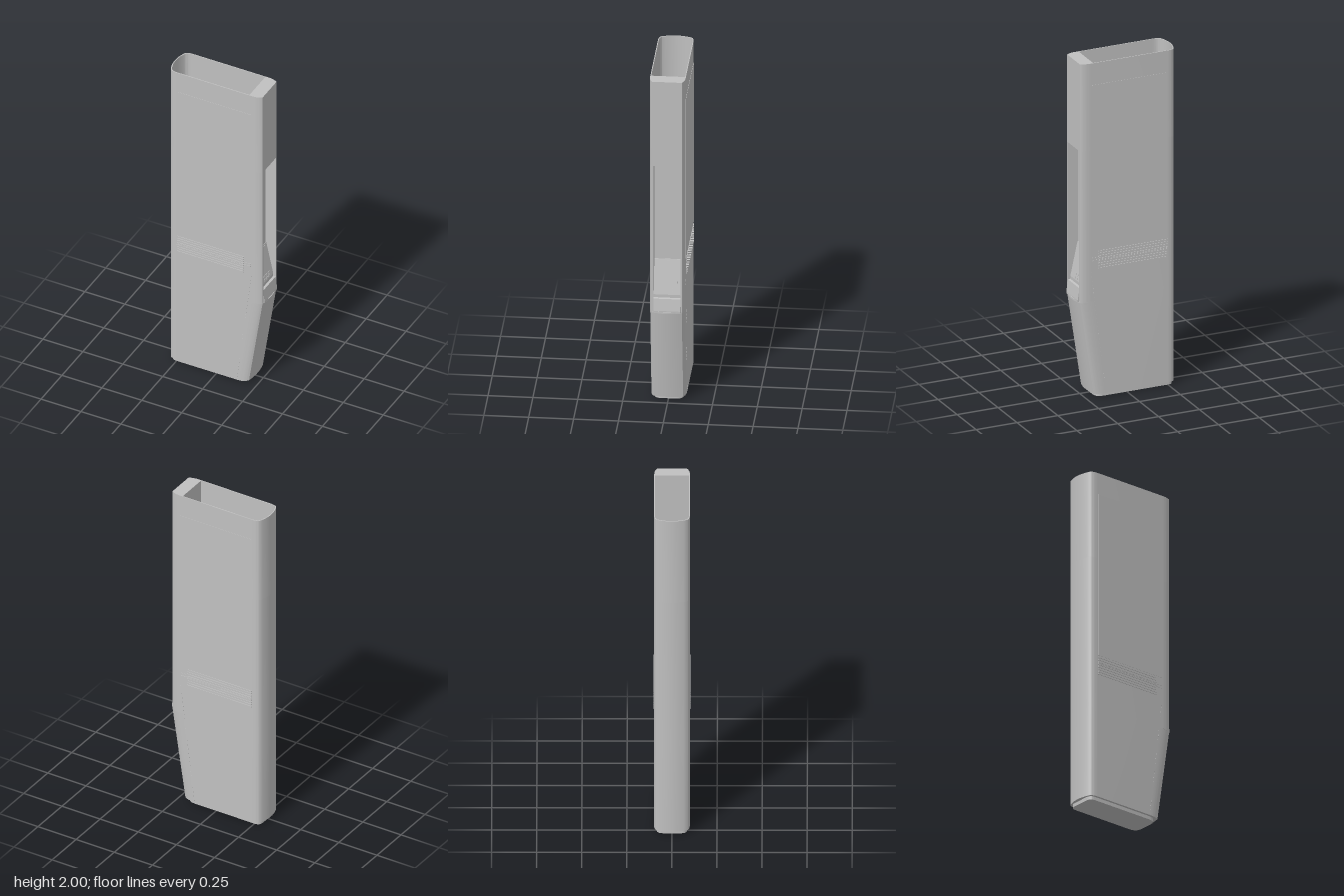
import * as THREE from 'three';
import { toCreasedNormals } from 'three/addons/utils/BufferGeometryUtils.js';

const grey = new THREE.MeshStandardMaterial({ color: 0xc0c0c0, side: THREE.DoubleSide });
grey.name = 'casing grey';
const H = 0.099; // half depth of the casing

function add(parent, name, geometry, x = 0, y = 0, z = 0) {
  const mesh = new THREE.Mesh(geometry, grey);
  mesh.name = name;
  mesh.position.set(x, y, z);
  parent.add(mesh);
  return mesh;
}

// Casing outline: bowed left end, flat sides, rounded right corners.
function outline(right, bow, flatEnd, notch) {
  const s = new THREE.Shape();
  s.moveTo(-0.24, H);
  s.quadraticCurveTo(-0.277, H, -0.287, 0.083);
  s.quadraticCurveTo(-0.323, 0, -0.287, -0.083);
  s.quadraticCurveTo(-0.277, -H, -0.24, -H);
  s.lineTo(flatEnd, -H);
  s.quadraticCurveTo(right - 0.02, -H, right, -0.083);
  if (notch) {
    for (const [x, z] of [[right, -0.075], [notch, -0.075], [notch, 0.075], [right, 0.075], [right, 0.083]]) s.lineTo(x, z);
  } else {
    s.quadraticCurveTo(right + 2 * bow, 0, right, 0.083);
  }
  s.quadraticCurveTo(right - 0.02, H, flatEnd, H);
  return s;
}

// Hollow inside of the casing, ending at the header column.
function cavity() {
  const p = new THREE.Path(), z = H - 0.005;
  p.moveTo(-0.24, z);
  p.quadraticCurveTo(-0.272, z, -0.282, 0.079);
  p.quadraticCurveTo(-0.317, 0, -0.282, -0.079);
  p.quadraticCurveTo(-0.272, -z, -0.24, -z);
  p.lineTo(0.212, -z);
  p.lineTo(0.212, z);
  p.closePath();
  return p;
}

function upright(shape, y0, y1) {
  const g = new THREE.ExtrudeGeometry(shape, { depth: y1 - y0, bevelEnabled: false, curveSegments: 10 });
  g.rotateX(-Math.PI / 2).translate(0, y0, 0);
  return toCreasedNormals(g, 0.5);
}

function loft(a, b, y0, y1) {
  const pa = a.getPoints(10), pb = b.getPoints(10), n = pa.length;
  const pos = [], index = [];
  pa.forEach(p => pos.push(p.x, y0, -p.y));
  pb.forEach(p => pos.push(p.x, y1, -p.y));
  for (let i = 0; i < n; i++) {
    const j = (i + 1) % n;
    index.push(i, j, n + j, i, n + j, n + i);
  }
  const g = new THREE.BufferGeometry();
  g.setAttribute('position', new THREE.Float32BufferAttribute(pos, 3));
  g.setIndex(index);
  return toCreasedNormals(g, 0.5);
}

export function createModel() {
  const model = new THREE.Group();
  model.name = 'kiosk';

  // Casing: solid header column at the top, recess below it, tapered foot
  const head = outline(0.288, 0, 0.225);
  head.holes.push(cavity());
  add(model, 'upperCasing', upright(head, 1.48, 2));
  const mid = outline(0.288, 0, 0.225, 0.225);
  mid.holes.push(cavity());
  add(model, 'recessedCasing', upright(mid, 0.58, 1.48));
  const foot = outline(0.203, 0.01, 0.135);
  add(model, 'lowerCasing', loft(foot, outline(0.288, 0.014, 0.205), 0.02, 0.58));
  add(model, 'lowerFloor', new THREE.ShapeGeometry(foot, 10).rotateX(-Math.PI / 2), 0, 0.02, 0);

  // Ledge closing the top of the tapered foot
  const ledge = new THREE.Shape();
  ledge.moveTo(0.212, -H);
  ledge.quadraticCurveTo(0.268, -H, 0.288, -0.083);
  ledge.quadraticCurveTo(0.316, 0, 0.288, 0.083);
  ledge.quadraticCurveTo(0.268, H, 0.212, H);
  add(model, 'ledge', upright(ledge, 0.575, 0.585));

  // Plinth
  const plinth = new THREE.Shape();
  plinth.moveTo(-0.25, 0.085);
  plinth.quadraticCurveTo(-0.285, 0.085, -0.285, 0.05);
  plinth.lineTo(-0.285, -0.05);
  plinth.quadraticCurveTo(-0.285, -0.085, -0.25, -0.085);
  plinth.lineTo(0.14, -0.085);
  plinth.quadraticCurveTo(0.19, -0.085, 0.19, -0.04);
  plinth.lineTo(0.19, 0.04);
  plinth.quadraticCurveTo(0.19, 0.085, 0.14, 0.085);
  add(model, 'plinth', upright(plinth, 0, 0.021));

  // Both broad sides: panel, vent grille and dashed seam
  for (const side of [1, -1]) {
    const face = new THREE.Group();
    face.name = side > 0 ? 'frontDetails' : 'backDetails';
    model.add(face);
    add(face, 'sidePanel', new THREE.BoxGeometry(0.465, 0.985, 0.003), -0.0075, 1.3775, side * 0.099);
    for (let i = 0; i < 8; i++) {
      add(face, 'ventSlat', new THREE.BoxGeometry(0.42, 0.007, 0.005), -0.03, 0.772 + i * 0.0145, side * 0.1);
    }
    for (const y of [0.822, 0.838]) {
      add(face, 'ventBar', new THREE.BoxGeometry(0.46, 0.005, 0.004), -0.01, y, side * 0.099);
    }
    for (let i = 0; i < 30; i++) {
      const t = (i + 0.5) / 30;
      const dash = add(face, 'seamDash', new THREE.BoxGeometry(0.003, 0.012, 0.002), 0.135 + 0.09 * t, 0.02 + 0.74 * t, side * H);
      dash.rotation.z = -Math.atan2(0.09, 0.74);
    }
  }

  // Screen at the back of the recess
  add(model, 'screen', new THREE.BoxGeometry(0.004, 0.58, 0.136), 0.226, 1.18, 0);

  // Sloping console with a lip below it
  const profile = new THREE.Shape([
    [0.22, 0.88], [0.228, 0.88], [0.272, 0.68], [0.272, 0.662], [0.286, 0.66],
    [0.297, 0.59], [0.297, 0.58], [0.22, 0.58],
  ].map(([x, y]) => new THREE.Vector2(x, y)));
  add(model, 'console', new THREE.ExtrudeGeometry(profile, { depth: 0.15, bevelEnabled: false }), 0, 0, -0.075);

  // Controls lying on the slope
  const controls = new THREE.Group();
  controls.name = 'controls';
  controls.position.set(0.25, 0.78, 0);
  controls.rotation.z = Math.atan2(0.044, 0.2);
  model.add(controls);
  add(controls, 'controlPlate', new THREE.BoxGeometry(0.005, 0.13, 0.11), 0, 0.03, 0);
  for (let i = 0; i < 3; i++) {
    for (let j = 0; j < 2; j++) {
      add(controls, 'key', new THREE.BoxGeometry(0.006, 0.012, 0.016), 0, -0.07 - j * 0.02, 0.018 - i * 0.025);
    }
  }
  return model;
}
